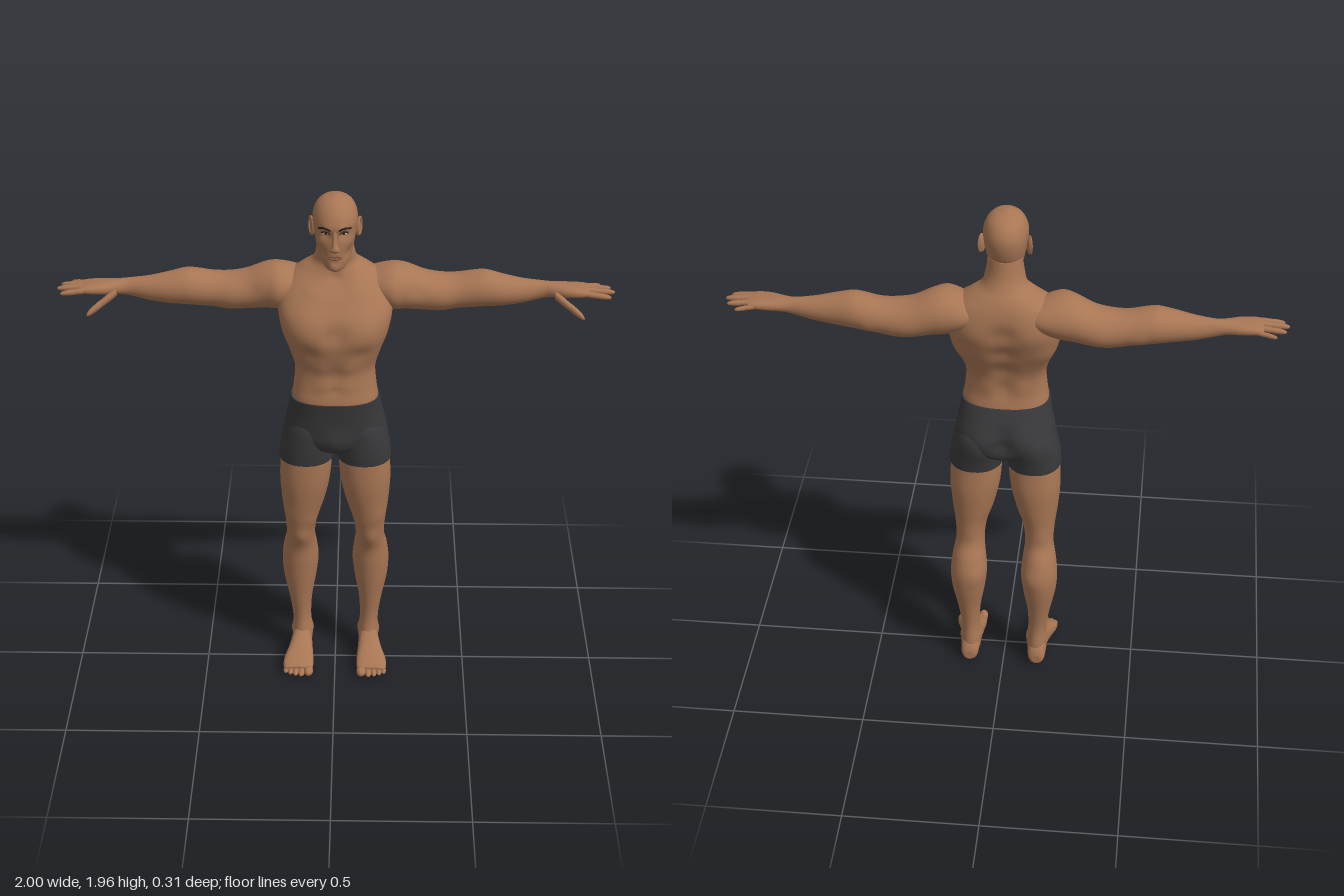
import * as THREE from 'three';

const mat = (name, color) => {
  const m = new THREE.MeshStandardMaterial({ color });
  m.name = name;
  return m;
};

// Catmull-Rom blend of one column of station values
const blend = (p0, p1, p2, p3, t) => 0.5 * (2 * p1 + (p2 - p0) * t +
  (2 * p0 - 5 * p1 + 4 * p2 - p3) * t * t + (3 * p1 - p0 - 3 * p2 + p3) * t * t * t);

// Places (along, a, b) on the model axes
const PLACE = {
  x: (t, a, b) => [t, b, a],
  y: (t, a, b) => [a, t, b],
  z: (t, a, b) => [b, a, t],
};

// Smooth loft through stations [along, aMin, aMax, bMin, bMax, power];
// bumps [x, y, z, radius, amount] push the surface in or out, on both sides of x = 0
function loft(axis, stations, { sides = 40, steps = 5, bumps = [] } = {}) {
  const st = stations.map((s) => [...s.slice(0, 5), s[5] ?? 2]).sort((p, q) => p[0] - q[0]);
  const at = (i) => st[Math.min(Math.max(i, 0), st.length - 1)];
  const rows = [];
  for (let i = 0; i < st.length - 1; i++) {
    for (let k = 0; k < steps; k++) {
      rows.push(st[i].map((_, c) => blend(at(i - 1)[c], at(i)[c], at(i + 1)[c], at(i + 2)[c], k / steps)));
    }
  }
  rows.push(st[st.length - 1]);
  const pos = [], idx = [];
  const ring = ([t, a0, a1, b0, b1, n]) => {
    for (let j = 0; j < sides; j++) {
      const ang = (j / sides) * Math.PI * 2, c = Math.cos(ang), s = Math.sin(ang);
      const a = (a0 + a1) / 2 + (a1 - a0) / 2 * Math.sign(c) * Math.abs(c) ** (2 / n);
      const b = (b0 + b1) / 2 + (b1 - b0) / 2 * Math.sign(s) * Math.abs(s) ** (2 / n);
      pos.push(...PLACE[axis](t, a, b));
    }
  };
  rows.forEach((row, i) => {
    ring(row);
    if (!i) return;
    for (let j = 0; j < sides; j++) {
      const n = (j + 1) % sides, lo = (i - 1) * sides, hi = i * sides;
      idx.push(lo + j, hi + j, lo + n, lo + n, hi + j, hi + n);
    }
  });
  [rows[0], rows[rows.length - 1]].forEach((row, end) => {
    const start = pos.length / 3;
    ring(row);
    pos.push(...PLACE[axis](row[0], (row[1] + row[2]) / 2, (row[3] + row[4]) / 2));
    for (let j = 0; j < sides; j++) {
      const n = (j + 1) % sides;
      idx.push(start + sides, start + (end ? n : j), start + (end ? j : n));
    }
  });
  const g = new THREE.BufferGeometry();
  g.setAttribute('position', new THREE.Float32BufferAttribute(pos, 3));
  g.setIndex(idx);
  g.computeVertexNormals();
  if (bumps.length) {
    const p = g.attributes.position, nr = g.attributes.normal;
    for (let i = 0; i < p.count; i++) {
      const x = p.getX(i), y = p.getY(i), z = p.getZ(i);
      let d = 0;
      for (const [bx, by, bz, r, amt] of bumps) {
        d += amt * Math.exp(-((Math.abs(x) - bx) ** 2 + (y - by) ** 2 + (z - bz) ** 2) / (r * r));
      }
      p.setXYZ(i, x + nr.getX(i) * d, y + nr.getY(i) * d, z + nr.getZ(i) * d);
    }
    g.computeVertexNormals();
  }
  return g;
}

function mirrored(g) {
  const m = g.clone().scale(-1, 1, 1), ix = m.index.array;
  for (let i = 0; i < ix.length; i += 3) [ix[i], ix[i + 1]] = [ix[i + 1], ix[i]];
  return m;
}

export function createModel() {
  const model = new THREE.Group();
  model.name = 'standingMan';
  const skin = mat('skin', 0xa87654), cloth = mat('shortsCloth', 0x39393b);
  const dark = mat('browsAndIris', 0x2b1d16), white = mat('eyeWhite', 0xc9c0b6), lip = mat('lips', 0x8a5843);

  const add = (name, geo, material) => {
    const m = new THREE.Mesh(geo, material);
    m.name = name;
    model.add(m);
    return m;
  };
  const pair = (name, geo, material) => {
    add(name + 'Left', geo, material);
    add(name + 'Right', mirrored(geo), material);
  };
  const blob = (name, [x, y, z], [rx, ry, rz], material, turn = 0) => {
    const g = new THREE.SphereGeometry(1, 20, 14).scale(rx, ry, rz).rotateY(turn).translate(x, y, z);
    pair(name, g, material);
  };

  // Torso and neck
  add('torso', loft('y', [
    [1.12, -0.15, 0.15, -0.08, 0.115, 2.4], [1.18, -0.157, 0.157, -0.08, 0.13, 2.4],
    [1.24, -0.15, 0.15, -0.07, 0.122, 2.4], [1.31, -0.146, 0.146, -0.075, 0.12, 2.4],
    [1.38, -0.166, 0.166, -0.1, 0.138, 2.5], [1.45, -0.191, 0.191, -0.128, 0.147, 2.7],
    [1.52, -0.205, 0.205, -0.148, 0.132, 2.8], [1.58, -0.2, 0.2, -0.153, 0.098, 2.6],
    [1.63, -0.175, 0.175, -0.147, 0.06, 2.4], [1.67, -0.125, 0.125, -0.132, 0.04, 2.1],
    [1.7, -0.083, 0.083, -0.112, 0.036], [1.74, -0.067, 0.067, -0.092, 0.045], [1.8, -0.062, 0.062, -0.08, 0.06],
  ], {
    sides: 64, steps: 7, bumps: [
      [0.09, 1.48, 0.13, 0.07, 0.012], [0, 1.47, 0.145, 0.035, -0.012], [0.09, 1.39, 0.13, 0.035, -0.007], // chest
      [0, 1.3, 0.12, 0.03, -0.004], [0.045, 1.33, 0.12, 0.03, 0.005], [0.045, 1.26, 0.12, 0.03, 0.004], // abdomen
      [0, 1.24, 0.122, 0.012, -0.006], [0.08, 1.61, 0.06, 0.03, 0.006], [0, 1.655, 0.045, 0.02, -0.008], // navel, collar
      [0, 1.54, -0.15, 0.04, -0.014], [0, 1.45, -0.13, 0.04, -0.014], [0, 1.36, -0.09, 0.04, -0.012],
      [0, 1.27, -0.07, 0.04, -0.01], [0.1, 1.54, -0.145, 0.06, 0.008], [0.15, 1.43, -0.08, 0.06, 0.009], // back
      [0.05, 1.27, -0.07, 0.04, 0.006], [0.05, 1.73, -0.01, 0.025, 0.004],
    ],
  }), skin);

  // Head
  const head = add('head', loft('y', [
    [1.704, -0.018, 0.018, 0.06, 0.098], [1.714, -0.036, 0.036, 0.03, 0.11], [1.74, -0.053, 0.053, -0.02, 0.115],
    [1.77, -0.063, 0.063, -0.055, 0.116], [1.8, -0.069, 0.069, -0.077, 0.116, 2.1],
    [1.835, -0.075, 0.075, -0.09, 0.116, 2.1], [1.87, -0.079, 0.079, -0.095, 0.121, 2.1],
    [1.9, -0.077, 0.077, -0.091, 0.113], [1.93, -0.064, 0.064, -0.072, 0.092],
    [1.95, -0.041, 0.041, -0.04, 0.064], [1.96, -0.008, 0.008, 0.002, 0.024],
  ], {
    sides: 56, steps: 6, bumps: [
      [0.032, 1.848, 0.108, 0.017, -0.011], [0.03, 1.87, 0.115, 0.014, 0.004], [0.055, 1.815, 0.09, 0.022, 0.005],
      [0.05, 1.77, 0.085, 0.022, -0.006], [0, 1.722, 0.11, 0.018, 0.005], [0, 1.743, 0.115, 0.012, -0.004],
    ],
  }), skin);
  head.updateMatrixWorld();
  const ray = new THREE.Raycaster();
  const faceZ = (x, y) => {
    ray.set(new THREE.Vector3(x, y, 1), new THREE.Vector3(0, 0, -1));
    return ray.intersectObject(head)[0]?.point.z ?? 0.1;
  };
  const faceLine = (pts, r) => new THREE.TubeGeometry(new THREE.CatmullRomCurve3(
    pts.map(([x, y]) => new THREE.Vector3(x, y, faceZ(x, y) + 0.0005))), 16, r, 6);

  // Face details
  add('nose', loft('y', [
    [1.783, -0.01, 0.01, 0.1, 0.122], [1.79, -0.019, 0.019, 0.1, 0.135], [1.798, -0.018, 0.018, 0.1, 0.141],
    [1.812, -0.011, 0.011, 0.1, 0.138], [1.835, -0.009, 0.009, 0.1, 0.129], [1.865, -0.009, 0.009, 0.1, 0.12],
  ], { sides: 20 }), skin);
  blob('eye', [0.032, 1.849, faceZ(0.032, 1.849) - 0.001], [0.013, 0.006, 0.004], white, 0.25);
  blob('iris', [0.031, 1.849, faceZ(0.031, 1.849) + 0.0015], [0.0055, 0.0055, 0.0025], dark, 0.2);
  pair('eyelid', faceLine([[0.017, 1.85], [0.03, 1.857], [0.047, 1.85]], 0.0025), dark);
  pair('eyebrow', faceLine([[0.014, 1.866], [0.034, 1.873], [0.056, 1.866]], 0.0035), dark);
  add('upperLip', faceLine([[-0.025, 1.761], [-0.007, 1.767], [0, 1.765], [0.007, 1.767], [0.025, 1.761]], 0.0035), lip);
  add('lowerLip', faceLine([[-0.02, 1.759], [0, 1.756], [0.02, 1.759]], 0.004), lip);
  blob('ear', [0.08, 1.833, -0.002], [0.007, 0.034, 0.019], skin, -0.4);
  pair('earRim', new THREE.TorusGeometry(0.018, 0.004, 8, 24).scale(1, 1.7, 1)
    .rotateY(Math.PI / 2 - 0.4).translate(0.085, 1.835, -0.004), skin);

  // Arms with palms
  pair('arm', loft('x', [
    [0.08, -0.13, 0, 1.56, 1.63], [0.14, -0.148, 0.03, 1.53, 1.655], [0.2, -0.153, 0.052, 1.505, 1.671],
    [0.25, -0.152, 0.036, 1.5, 1.665], [0.32, -0.148, 0.015, 1.492, 1.636], [0.38, -0.145, 0.008, 1.488, 1.625],
    [0.44, -0.14, 0.004, 1.497, 1.626], [0.5, -0.135, 0.008, 1.503, 1.637], [0.54, -0.13, 0.009, 1.507, 1.64],
    [0.6, -0.115, 0.003, 1.512, 1.627], [0.67, -0.1, -0.012, 1.521, 1.612], [0.74, -0.086, -0.028, 1.537, 1.604],
    [0.78, -0.085, -0.018, 1.546, 1.601], [0.83, -0.09, 0.001, 1.552, 1.598, 2.4],
    [0.88, -0.091, 0.008, 1.558, 1.594, 2.6], [0.908, -0.088, 0.005, 1.564, 1.589, 2.6],
  ], {
    bumps: [[0.36, 1.56, 0, 0.05, 0.006], [0.33, 1.53, -0.14, 0.05, 0.005],
      [0.48, 1.54, -0.13, 0.025, 0.004], [0.29, 1.59, 0.02, 0.025, -0.004]],
  }), skin);

  // Fingers and thumb: start [x, y, z], end [x, y, z], radius
  const digits = {
    indexFinger: [[0.885, 1.577, -0.005], [0.985, 1.566, 0.003], 0.0115],
    middleFinger: [[0.885, 1.579, -0.031], [1.0, 1.572, -0.031], 0.012],
    ringFinger: [[0.885, 1.577, -0.056], [0.988, 1.572, -0.067], 0.0115],
    littleFinger: [[0.88, 1.574, -0.08], [0.955, 1.568, -0.1], 0.0095],
    thumb: [[0.785, 1.567, -0.015], [0.89, 1.5, 0.04], 0.017],
  };
  for (const [name, [p, q, r]] of Object.entries(digits)) {
    const rows = [[0, 0.9], [0.25, 1], [0.5, 0.9], [0.62, 0.95], [0.85, 0.78], [0.96, 0.5], [1, 0.12]].map(([f, k]) => {
      const [x, y, z] = p.map((v, i) => v + (q[i] - v) * f);
      return [x, z - r * k, z + r * k, y - r * k, y + r * k];
    });
    pair(name, loft('x', rows, { sides: 14, steps: 3 }), skin);
  }

  // Legs
  pair('leg', loft('y', [
    [1, 0.02, 0.19, -0.11, 0.1], [0.92, 0.013, 0.202, -0.108, 0.1, 2.2], [0.82, 0.02, 0.207, -0.113, 0.096, 2.2],
    [0.72, 0.042, 0.2, -0.107, 0.081], [0.64, 0.068, 0.19, -0.1, 0.062], [0.56, 0.078, 0.186, -0.107, 0.044],
    [0.5, 0.072, 0.197, -0.132, 0.022], [0.43, 0.066, 0.205, -0.149, 0.014], [0.35, 0.074, 0.2, -0.142, 0.004],
    [0.25, 0.091, 0.18, -0.122, -0.01], [0.16, 0.096, 0.167, -0.111, -0.018],
    [0.08, 0.09, 0.168, -0.12, -0.005], [0.03, 0.095, 0.165, -0.115, 0],
  ], {
    bumps: [[0.13, 0.58, 0.045, 0.03, 0.007], [0.09, 0.65, 0.04, 0.035, 0.007], [0.165, 0.67, 0.05, 0.04, 0.005],
      [0.135, 0.57, -0.105, 0.03, -0.005], [0.1, 0.43, -0.13, 0.04, 0.005], [0.095, 0.1, -0.06, 0.018, 0.006],
      [0.168, 0.09, -0.07, 0.018, 0.006]],
  }), skin);

  // Feet and toes
  pair('foot', loft('z', [
    [-0.132, 0.015, 0.05, 0.115, 0.15], [-0.12, 0.003, 0.08, 0.1, 0.163], [-0.08, 0, 0.12, 0.094, 0.168, 2.3],
    [-0.03, 0, 0.118, 0.092, 0.17, 2.3], [0.02, 0, 0.088, 0.088, 0.182, 2.4], [0.07, 0, 0.06, 0.084, 0.198, 2.6],
    [0.105, 0.002, 0.042, 0.085, 0.2, 2.6], [0.122, 0.008, 0.03, 0.092, 0.19, 2.4],
  ], { sides: 32 }), skin);
  [[0.102, 0.13, 0.018], [0.129, 0.131, 0.0125], [0.151, 0.126, 0.0115], [0.171, 0.118, 0.011], [0.189, 0.108, 0.0105]]
    .forEach(([x, z, r], i) => blob('toe' + (i + 1), [x, r * 0.95, z], [r, r * 0.95, 0.026], skin, 0.08));

  // Shorts
  add('shortsSeat', loft('y', [
    [0.965, -0.07, 0.07, -0.085, 0.085], [0.985, -0.14, 0.14, -0.115, 0.108], [1.02, -0.188, 0.188, -0.127, 0.117, 2.3],
    [1.07, -0.184, 0.184, -0.13, 0.122, 2.4], [1.13, -0.171, 0.171, -0.112, 0.128, 2.4],
    [1.187, -0.162, 0.162, -0.087, 0.136, 2.4],
  ], {
    sides: 64, bumps: [[0.085, 1.05, -0.12, 0.06, 0.012], [0, 1.05, -0.13, 0.035, -0.022],
      [0, 1.1, -0.12, 0.03, -0.01], [0, 1.03, 0.115, 0.04, 0.012]],
  }), cloth);
  pair('shortsLeg', loft('y', [
    [0.92, 0.007, 0.209, -0.115, 0.107, 2.2], [0.96, 0.004, 0.205, -0.12, 0.111, 2.2],
    [1.01, 0.003, 0.196, -0.126, 0.113, 2.2], [1.06, 0.01, 0.185, -0.124, 0.112], [1.1, 0.03, 0.165, -0.1, 0.1],
  ], { bumps: [[0.09, 1.03, -0.12, 0.05, 0.009]] }), cloth);

  return model;
}
